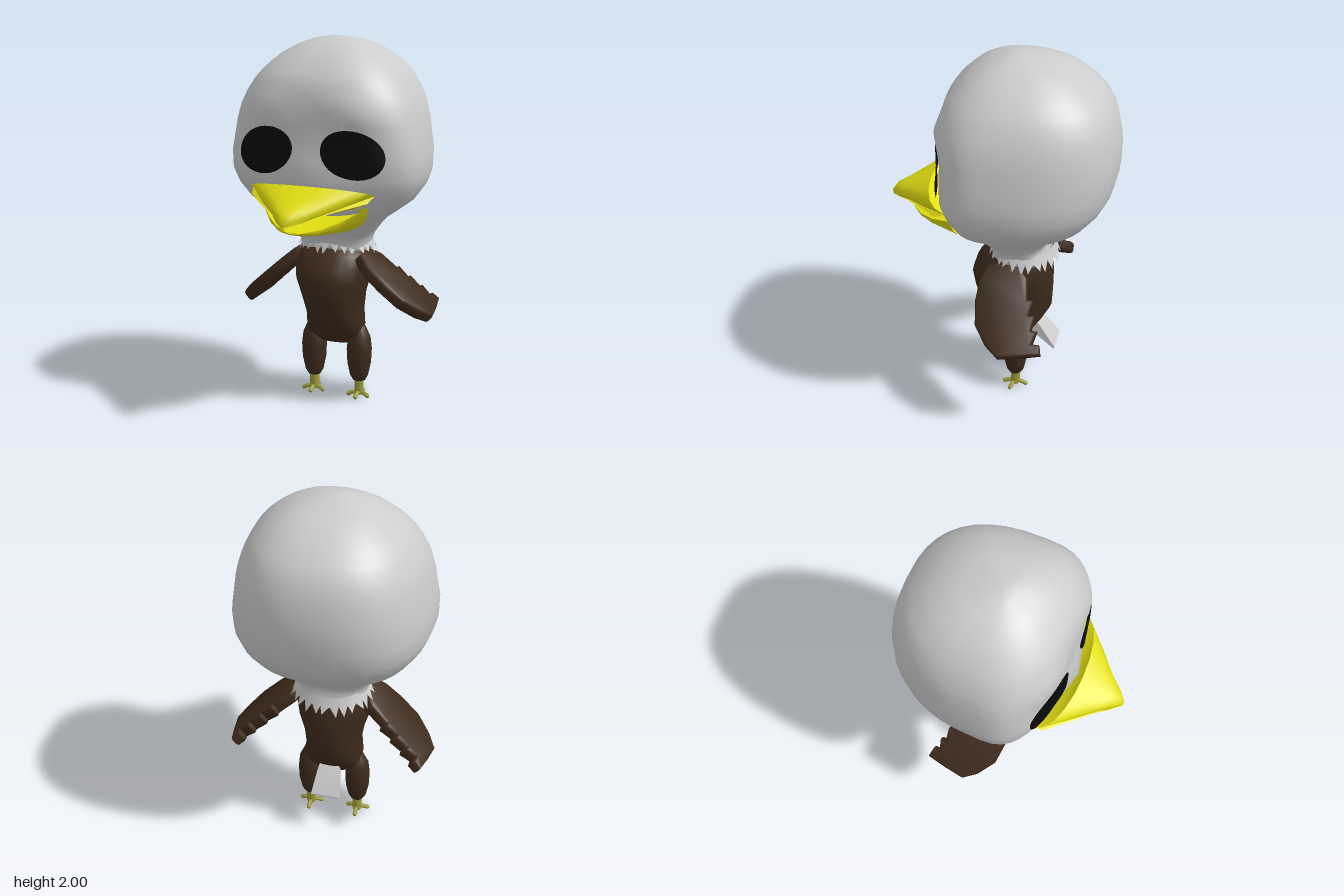
import * as THREE from 'three';
import { mergeVertices, toCreasedNormals } from 'three/addons/utils/BufferGeometryUtils.js';

const paint = (color, side = THREE.FrontSide) => new THREE.MeshStandardMaterial({ color, side });
const WHITE = 0xcccccc, BROWN = 0x3d2b1c, YELLOW = 0xe2de12, OLIVE = 0x9c9c3a, BLACK = 0x0a0a0a;

function add(parent, name, geometry, material) {
  const mesh = new THREE.Mesh(geometry, material);
  mesh.name = name;
  parent.add(mesh);
  return mesh;
}

// Skin a list of closed rings of [x, y, z] points, with fans closing both ends
function loft(rings) {
  const n = rings[0].length, pos = rings.flat(2), index = [];
  for (let i = 0; i < rings.length - 1; i++) {
    for (let j = 0; j < n; j++) {
      const a = i * n + j, b = i * n + (j + 1) % n;
      index.push(a, a + n, b + n, a, b + n, b);
    }
  }
  [0, rings.length - 1].forEach((r, end) => {
    const c = pos.length / 3;
    pos.push(...[0, 1, 2].map(k => rings[r].reduce((s, p) => s + p[k], 0) / n));
    for (let j = 0; j < n; j++) {
      const a = r * n + j, b = r * n + (j + 1) % n;
      index.push(...(end ? [a, c, b] : [a, b, c]));
    }
  });
  const g = new THREE.BufferGeometry();
  g.setAttribute('position', new THREE.Float32BufferAttribute(pos, 3));
  g.setIndex(index);
  g.computeVertexNormals();
  return g;
}

const ring = (n, f) => Array.from({ length: n }, (_, j) => f(j / n * Math.PI * 2));
const power = (v, e) => Math.sign(v) * Math.abs(v) ** e;

// Horizontal section: half-width, front z, back z and z of the widest place
function section(y, w, front, back, mid, n, segs, relief = () => 0) {
  return ring(segs, a => {
    const x = w * power(Math.cos(a), 2 / n), s = power(Math.sin(a), 2 / n);
    const bump = s > 0 ? relief(x, y) * s : 0;
    return [x, y, mid + (s > 0 ? front - mid : mid - back) * s + bump];
  });
}

// Head table: y, half-width, front z, back z, z of the widest place
const HEAD = [
  [0.85, 0.19, 0.05, -0.27, -0.11], [0.92, 0.2, 0.06, -0.25, -0.1], [0.97, 0.23, 0.1, -0.27, -0.08],
  [1.05, 0.3, 0.18, -0.36, -0.04], [1.15, 0.44, 0.24, -0.49, 0], [1.3, 0.523, 0.3, -0.585, 0.03],
  [1.5, 0.507, 0.31, -0.61, 0.02], [1.65, 0.475, 0.3, -0.59, 0], [1.78, 0.41, 0.275, -0.54, -0.05],
  [1.87, 0.33, 0.2, -0.45, -0.08], [1.95, 0.21, 0.1, -0.32, -0.1], [1.99, 0.09, 0, -0.17, -0.08],
  [2.0, 0.03, -0.04, -0.1, -0.07],
];
const headYs = HEAD.map(r => r[0]);
const headCurve = new THREE.CubicInterpolant(headYs, HEAD.flatMap(r => r.slice(1)), 4);
const headAt = y => Array.from(headCurve.evaluate(y));
const HEAD_POWER = 2.5;

// Brows, eye sockets and the bridge above the beak
function relief(x, y) {
  const hill = (cx, cy, rx, ry) => Math.exp(-(((Math.abs(x) - cx) / rx) ** 2) - ((y - cy) / ry) ** 2);
  return 0.03 * hill(0.25, 1.64, 0.14, 0.06) - 0.03 * hill(0.24, 1.45, 0.13, 0.1)
    + 0.05 * hill(0, 1.29, 0.14, 0.09);
}

function faceZ(x, y) {
  const [w, front, , mid] = headAt(y);
  const s = Math.max(0, 1 - Math.abs(x / w) ** HEAD_POWER) ** (1 / HEAD_POWER);
  return mid + (front - mid) * s + relief(x, y) * s;
}

function headGeometry() {
  const ys = headYs.flatMap((y, i) => (i ? [(y + headYs[i - 1]) / 2, y] : [y]));
  return loft(ys.map(y => section(y, ...headAt(y), HEAD_POWER, 40, relief)));
}

// Oval laid over the face with a slight dome
function eyeGeometry(side) {
  const g = new THREE.RingGeometry(0.001, 1, 32, 5), p = g.attributes.position;
  for (let i = 0; i < p.count; i++) {
    const u = p.getX(i) * 0.163, v = p.getY(i) * 0.124;
    const dome = 0.012 + 0.014 * (1 - p.getX(i) ** 2 - p.getY(i) ** 2);
    const x = side * (0.24 + u), y = 1.437 + v - u * 0.12;
    p.setXYZ(i, x, y, faceZ(x, y) + dome);
  }
  if (side < 0) g.index.array.reverse();
  g.computeVertexNormals();
  return g;
}

// Beak half: rows of half-width, edge y, edge z, top y, bottom y, centre z
function beakGeometry(rows) {
  const g = loft(rows.map(([w, ey, ez, top, bottom, cz]) => ring(20, a => {
    const s = power(Math.sin(a), 0.8), k = Math.abs(s);
    return [w * Math.cos(a), ey + (s > 0 ? top - ey : ey - bottom) * s, ez + (cz - ez) * k];
  })));
  return toCreasedNormals(g, 0.9);
}

// Ragged feather ruff
function ruffGeometry() {
  const spikes = 26, pos = [], index = [];
  const point = (a, y, r) => pos.push(r * 0.2 * Math.cos(a), y + 0.02 * Math.sin(a), -0.12 + r * 0.175 * Math.sin(a));
  for (let i = 0; i < spikes; i++) {
    const at = k => (i + k) / spikes * Math.PI * 2;
    point(at(0), 0.93, 0.93); point(at(1), 0.93, 0.93);
    point(at(0), 0.885, 1.02); point(at(1), 0.885, 1.02);
    point(at(0.5 + 0.25 * Math.sin(i * 2.4)), 0.835 + 0.01 * Math.sin(i * 1.7), 1.13);
    const b = i * 5;
    index.push(b, b + 1, b + 3, b, b + 3, b + 2, b + 2, b + 3, b + 4);
  }
  const g = new THREE.BufferGeometry();
  g.setAttribute('position', new THREE.Float32BufferAttribute(pos, 3));
  g.setIndex(index);
  const joined = mergeVertices(g);
  joined.computeVertexNormals();
  return joined;
}

// Flat wing drawn as (distance from shoulder, z), notched along the back edge
function wingGeometry() {
  const outline = [[0, 0.03], [0.08, 0.065], [0.2, 0.07], [0.33, 0.05], [0.43, -0.02], [0.485, -0.09],
    [0.465, -0.2], [0.44, -0.3], [0.4, -0.29], [0.4, -0.25], [0.33, -0.265], [0.33, -0.235],
    [0.25, -0.24], [0.25, -0.21], [0.17, -0.22], [0.17, -0.19], [0.05, -0.17], [0, -0.12]];
  const shape = new THREE.Shape(outline.reverse().map(p => new THREE.Vector2(...p)));
  const g = new THREE.ExtrudeGeometry(shape, {
    depth: 0.03, bevelThickness: 0.018, bevelSize: 0.012, bevelOffset: -0.004, bevelSegments: 2,
  });
  g.translate(0, 0, -0.015);
  return toCreasedNormals(g, 0.8);
}

function makeLeg(side) {
  const leg = new THREE.Group();
  leg.name = side > 0 ? 'leftLeg' : 'rightLeg';
  leg.position.set(side * 0.135, 0, -0.1);
  const thigh = [[0.1, 0.035], [0.125, 0.05], [0.2, 0.066], [0.28, 0.07], [0.35, 0.062], [0.42, 0.03]];
  add(leg, 'thigh', loft(thigh.map(([y, r]) => section(y, r, r, -r, 0, 2, 14))), paint(BROWN));
  const shin = add(leg, 'shin', new THREE.CylinderGeometry(0.026, 0.026, 0.11, 10), paint(OLIVE));
  shin.position.y = 0.07;
  // Three toes forward and one back
  for (const angle of [0, 1.25, -1.25, Math.PI]) {
    const reach = (d, y) => new THREE.Vector3(Math.sin(angle) * d, y, Math.cos(angle) * d);
    const path = new THREE.CatmullRomCurve3([reach(0, 0.03), reach(0.035, 0.024), reach(0.06, 0.014)]);
    add(leg, 'toe', new THREE.TubeGeometry(path, 4, 0.012, 7), paint(OLIVE));
    const claw = add(leg, 'claw', new THREE.SphereGeometry(0.012, 8, 6), paint(OLIVE));
    claw.position.copy(reach(0.06, 0.013));
  }
  return leg;
}

export function createModel() {
  const bird = new THREE.Group();
  bird.name = 'bird';

  add(bird, 'head', headGeometry(), paint(WHITE));
  add(bird, 'ruff', ruffGeometry(), paint(WHITE, THREE.DoubleSide));

  // Beak halves run from tip to base
  add(bird, 'upperBeak', beakGeometry([
    [0.015, 1.115, 0.6, 1.13, 1.105, 0.61], [0.06, 1.125, 0.555, 1.172, 1.12, 0.582],
    [0.115, 1.145, 0.48, 1.195, 1.135, 0.535], [0.21, 1.18, 0.39, 1.235, 1.15, 0.455],
    [0.34, 1.225, 0.23, 1.28, 1.15, 0.375],
  ]), paint(YELLOW));
  add(bird, 'lowerBeak', beakGeometry([
    [0.04, 1.06, 0.475, 1.062, 1.055, 0.49], [0.12, 1.07, 0.42, 1.06, 1.032, 0.43],
    [0.2, 1.1, 0.34, 1.075, 1.015, 0.34], [0.3, 1.16, 0.22, 1.1, 0.99, 0.17],
  ]), paint(YELLOW));

  // Body: y, half-width, front z, back z
  const body = [[0.32, 0.1, -0.04, -0.16], [0.36, 0.15, 0, -0.19], [0.42, 0.163, 0.045, -0.23],
    [0.5, 0.15, 0.105, -0.275], [0.6, 0.165, 0.15, -0.28], [0.7, 0.197, 0.165, -0.28],
    [0.78, 0.207, 0.14, -0.27], [0.84, 0.2, 0.09, -0.25], [0.9, 0.16, 0.03, -0.22]];
  add(bird, 'body', loft(body.map(([y, w, f, b]) => section(y, w, f, b, (f + b) / 2, 2.2, 24))), paint(BROWN));

  // Tail: half-width, top y and z, bottom y and z
  const tail = [[0.05, 0.41, -0.19, 0.33, -0.14], [0.06, 0.375, -0.225, 0.325, -0.19], [0.08, 0.255, -0.312, 0.245, -0.305]]
    .map(([w, ty, tz, by, bz]) => [[w, by, bz], [w, ty, tz], [-w, ty, tz], [-w, by, bz]]);
  add(bird, 'tail', toCreasedNormals(loft(tail), 0.5), paint(WHITE));

  for (const side of [1, -1]) {
    add(bird, side > 0 ? 'leftEye' : 'rightEye', eyeGeometry(side), paint(BLACK, THREE.DoubleSide));
    const wing = add(bird, side > 0 ? 'leftWing' : 'rightWing', wingGeometry(), paint(BROWN));
    const along = new THREE.Vector3(side * 0.75, -0.66, 0).normalize(), back = new THREE.Vector3(0, 0, 1);
    wing.quaternion.setFromRotationMatrix(
      new THREE.Matrix4().makeBasis(along, back, along.clone().cross(back)));
    wing.position.set(side * 0.175, 0.83, 0);
    bird.add(makeLeg(side));
  }
  return bird;
}
